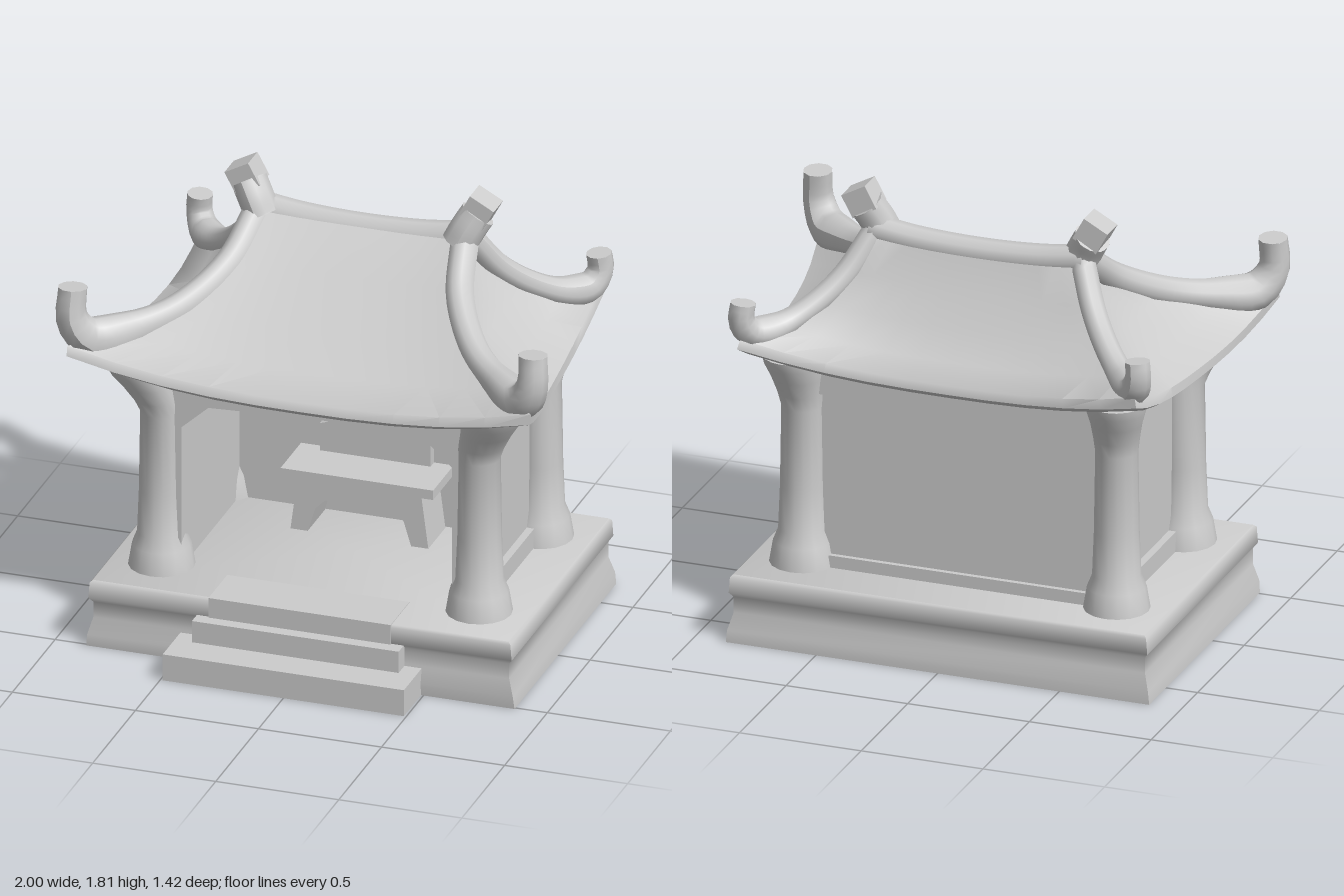
import * as THREE from 'three';
import { toCreasedNormals } from 'three/addons/utils/BufferGeometryUtils.js';

const V = (x, y, z) => new THREE.Vector3(x, y, z);

// Four-cornered ring; its edges sag in y and bow inwards.
function ring([fx, fy, fz], [bx, by, bz], sag = 0, bowF = 0, bowB = 0, bowS = 0, n = 10) {
  const c = [V(fx, fy, fz), V(bx, by, bz), V(-bx, by, bz), V(-fx, fy, fz)];
  const inward = [V(-bowS, 0, 0), V(0, 0, bowB), V(bowS, 0, 0), V(0, 0, -bowF)];
  const pts = [];
  for (let k = 0; k < 4; k++) {
    for (let i = 0; i < n; i++) {
      const s = i / n, w = 1 - Math.abs(2 * s - 1) ** 2.6;
      const p = c[k].clone().lerp(c[(k + 1) % 4], s).addScaledVector(inward[k], w);
      p.y -= sag * w;
      pts.push(p);
    }
  }
  return pts;
}

// Skin closed rings from bottom to top and close both ends.
function loft(rings, crease) {
  const n = rings[0].length, pos = [], idx = [];
  const centre = (r) => r.reduce((a, p) => a.add(p), V(0, 0, 0)).divideScalar(n);
  const all = [...rings.flat(), centre(rings[0]), centre(rings[rings.length - 1])];
  all.forEach((p) => pos.push(p.x, p.y, p.z));
  for (let j = 0; j < rings.length - 1; j++) {
    for (let i = 0; i < n; i++) {
      const a = j * n + i, b = j * n + (i + 1) % n;
      idx.push(a, b, b + n, a, b + n, a + n);
    }
  }
  const last = (rings.length - 1) * n, c0 = rings.length * n;
  for (let i = 0; i < n; i++) {
    const k = (i + 1) % n;
    idx.push(c0, k, i, c0 + 1, last + i, last + k);
  }
  const g = new THREE.BufferGeometry();
  g.setAttribute('position', new THREE.Float32BufferAttribute(pos, 3));
  g.setIndex(idx);
  return toCreasedNormals(g, crease);
}

export function createModel() {
  const root = new THREE.Group();
  root.name = 'pavilion';
  const stone = new THREE.MeshStandardMaterial({ color: 0xcccccc });
  stone.name = 'pale stone';

  const add = (name, geo, parent = root) => {
    const m = new THREE.Mesh(geo, stone);
    m.name = name;
    parent.add(m);
    return m;
  };
  // Box given by its limits
  const box = (name, x0, x1, y0, y1, z0, z1) =>
    add(name, new THREE.BoxGeometry(x1 - x0, y1 - y0, z1 - z0)
      .translate((x0 + x1) / 2, (y0 + y1) / 2, (z0 + z1) / 2));
  // Flat outline pushed from z0 to z1
  const plate = (name, outline, z0, z1) => {
    const shape = new THREE.Shape(outline.map(([x, y]) => new THREE.Vector2(x, y)));
    return add(name, new THREE.ExtrudeGeometry(shape, { depth: z1 - z0, bevelEnabled: false }).translate(0, 0, z0));
  };
  // Round bar along a smooth path with flat ends, thickened by swell near t = 0.75
  const bar = (name, pts, r, swell = 0) => {
    const group = new THREE.Group();
    group.name = name;
    root.add(group);
    const curve = new THREE.CatmullRomCurve3(pts);
    const tube = new THREE.TubeGeometry(curve, 28, r, 10);
    const pos = tube.attributes.position, p = V(0, 0, 0);
    for (let i = 0; i < pos.count; i++) {
      const t = Math.floor(i / 11) / 28, c = curve.getPointAt(t);
      const k = 1 + swell * Math.exp(-(((t - 0.75) / 0.12) ** 2));
      p.fromBufferAttribute(pos, i).sub(c).multiplyScalar(k).add(c);
      pos.setXYZ(i, p.x, p.y, p.z);
    }
    tube.computeVertexNormals();
    add(name + 'Body', tube, group);
    [0, 1].forEach((t) => {
      const cap = add(name + 'End', new THREE.CircleGeometry(r * 1.01, 10), group);
      cap.position.copy(curve.getPoint(t));
      const dir = curve.getTangent(t).multiplyScalar(t ? 1 : -1);
      cap.quaternion.setFromUnitVectors(V(0, 0, 1), dir);
    });
  };

  // Plinth with a waist under its top slab
  const plinth = [[0.87, 0, 0.51, -0.68], [0.865, 0.05, 0.515, -0.68], [0.845, 0.12, 0.5, -0.66],
    [0.845, 0.185, 0.5, -0.66], [0.86, 0.205, 0.515, -0.675], [0.855, 0.27, 0.515, -0.675],
    [0.845, 0.28, 0.505, -0.665]];
  add('plinth', loft(plinth.map(([x, y, f, b]) => ring([x, y, f], [x, y, b], 0, 0, 0, 0, 1)), 0.9));

  // Front steps
  const steps = [[0.49, 0, 0.11, 0.71], [0.42, 0.1, 0.2, 0.57], [0.37, 0.19, 0.283, 0.52]];
  steps.forEach(([x, y0, y1, z]) => box('step', -x, x, y0, y1, 0.3, z));

  // Columns with spread feet; their heads lean out to carry the roof corners
  const profile = [[0, 0.28], [0.13, 0.28], [0.115, 0.37], [0.095, 0.42], [0.088, 0.6], [0.083, 0.93],
    [0.09, 0.99], [0.1, 1.06], [0.115, 1.12], [0.115, 1.16], [0, 1.16]]
    .map(([r, y]) => new THREE.Vector2(r, y));
  for (const sx of [1, -1]) {
    for (const [z, leanX, leanZ] of [[0.275, 0.4, 0.4], [-0.44, 0.1, 0.3]]) {
      const geo = new THREE.LatheGeometry(profile, 16);
      const pos = geo.attributes.position;
      for (let i = 0; i < pos.count; i++) {
        const rise = Math.max(0, pos.getY(i) - 0.95);
        pos.setX(i, pos.getX(i) + sx * rise * leanX);
        pos.setZ(i, pos.getZ(i) + Math.sign(z) * rise * leanZ);
      }
      const col = add('column', toCreasedNormals(geo, 0.7));
      col.position.set(sx * 0.645, 0, z);
    }
  }

  // Side and back walls with sills and head beams
  for (const s of [1, -1]) {
    const side = (name, a, b, y0, y1) => box(name, Math.min(s * a, s * b), Math.max(s * a, s * b), y0, y1, -0.44, 0.275);
    side('sideWall', 0.56, 0.63, 0.28, 1.12);
    side('sideSill', 0.56, 0.66, 0.28, 0.36);
    side('sideBeam', 0.56, 0.68, 1.0, 1.13);
  }
  box('backWall', -0.65, 0.65, 0.28, 1.12, -0.45, -0.39);
  box('backSill', -0.65, 0.65, 0.28, 0.33, -0.47, -0.39);
  box('backBeam', -0.65, 0.65, 1.0, 1.13, -0.48, -0.38);

  // Front frame with a chamfered opening
  plate('frontFrame', [[-0.63, 0.28], [-0.55, 0.28], [-0.55, 0.89], [-0.44, 0.99], [0, 1.01],
    [0.44, 0.99], [0.55, 0.89], [0.55, 0.28], [0.63, 0.28], [0.63, 1.13], [-0.63, 1.13]], 0.23, 0.32);

  // Altar table: top slab, arched stand and gabled tablet
  box('tableTop', -0.31, 0.31, 0.505, 0.545, -0.39, -0.15);
  plate('tableStand', [[-0.28, 0.28], [-0.21, 0.28], [-0.18, 0.38], [-0.14, 0.42], [0.14, 0.42],
    [0.18, 0.38], [0.21, 0.28], [0.28, 0.28], [0.25, 0.51], [-0.25, 0.51]], -0.38, -0.18);
  plate('tablet', [[-0.22, 0.54], [0.23, 0.54], [0.23, 0.66], [0.02, 0.74], [-0.22, 0.66]], -0.4, -0.35);

  // Roof: underside, eave edge, then concave slopes up to the ridge
  const front = [[0.94, 1.27, 0.53], [0.77, 1.29, 0.37], [0.6, 1.35, 0.22], [0.47, 1.49, 0], [0.42, 1.62, -0.18]];
  const back = [[0.81, 1.27, -0.68], [0.7, 1.29, -0.54], [0.6, 1.36, -0.43], [0.5, 1.47, -0.34], [0.42, 1.62, -0.27]];
  const sag = [0.11, 0.07, 0.03, 0.02, 0.01];
  add('roof', loft([
    ring([0.6, 1.08, 0.25], [0.6, 1.08, -0.42]),
    ring([0.72, 1.13, 0.36], [0.7, 1.13, -0.5], 0.035),
    ring([0.89, 1.2, 0.5], [0.79, 1.2, -0.65], 0.1, 0.02, 0.09, 0.03),
    ring([0.94, 1.23, 0.54], [0.82, 1.23, -0.69], 0.105, 0.03, 0.1, 0.03),
    ...front.map((f, i) => ring(f, back[i], sag[i], i ? 0.01 : 0.03, [0.095, 0.04, 0, 0, 0][i], i ? 0.02 : 0.03)),
  ], 0.9));

  // Hip ridges sweeping up into corner horns
  for (const s of [1, -1]) {
    const path = (pts) => pts.map(([x, y, z]) => V(s * x, y, z));
    bar('frontHip', path([[0.42, 1.6, -0.2], [0.47, 1.455, 0], [0.6, 1.34, 0.2], [0.76, 1.29, 0.35],
      [0.88, 1.285, 0.45], [0.935, 1.37, 0.49], [0.935, 1.5, 0.48]]), 0.057, 0.4);
    bar('backHip', path([[0.43, 1.6, -0.24], [0.51, 1.45, -0.335], [0.6, 1.35, -0.43], [0.71, 1.28, -0.54],
      [0.785, 1.28, -0.62], [0.815, 1.34, -0.655], [0.81, 1.41, -0.65]]), 0.05, 0.3);
    // Finial tilted outwards on the ridge end
    bar('finialNeck', path([[0.4, 1.59, -0.2], [0.43, 1.65, -0.21], [0.465, 1.71, -0.23]]), 0.072);
    const finial = add('finial', new THREE.BoxGeometry(0.11, 0.1, 0.11));
    finial.position.set(s * 0.475, 1.735, -0.23);
    finial.rotation.z = -s * 0.5;
  }

  // Main ridge, dipping slightly in the middle
  bar('ridge', [V(-0.44, 1.615, -0.23), V(-0.25, 1.59, -0.23), V(0, 1.58, -0.23),
    V(0.25, 1.59, -0.23), V(0.44, 1.615, -0.23)], 0.057);

  return root;
}
